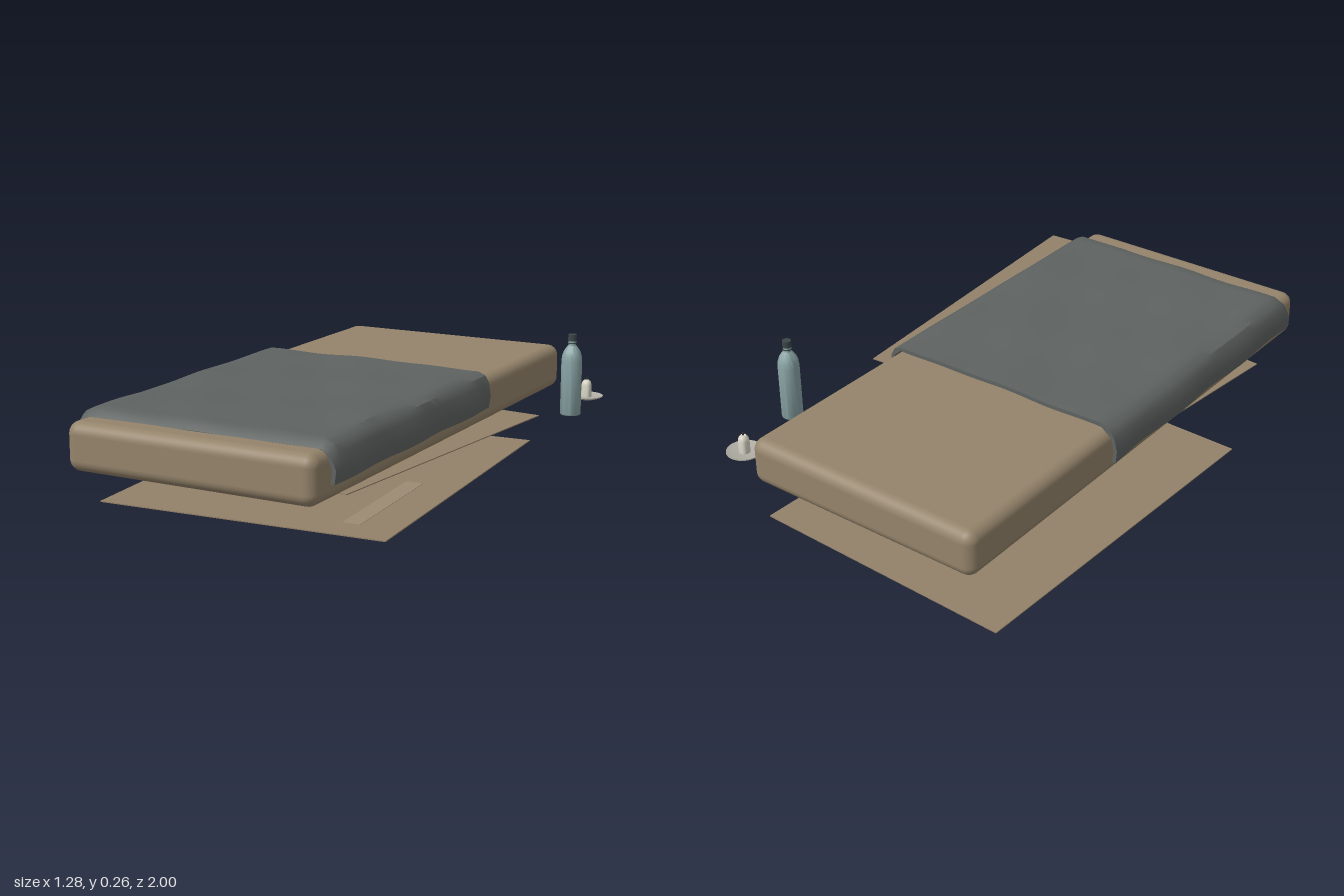
import * as THREE from 'three';
import { toCreasedNormals } from 'three/addons/utils/BufferGeometryUtils.js';
import { RoundedBoxGeometry } from 'three/addons/geometries/RoundedBoxGeometry.js';

const material = (name, color, side = THREE.FrontSide) => {
  const m = new THREE.MeshStandardMaterial({ color, side });
  m.name = name;
  return m;
};

// Blanket shell: a closed cross-section (outer skin, then inner skin back) swept along z
function blanketGeometry() {
  const outer = [[-0.452, 0.062], [-0.457, 0.1], [-0.449, 0.14], [-0.434, 0.163], [-0.405, 0.176]];
  const topSteps = 24;
  for (let i = 1; i < topSteps; i++) outer.push([-0.405 + 0.75 * i / topSteps, 0.176]);
  outer.push([0.345, 0.176], [0.369, 0.163], [0.383, 0.14], [0.391, 0.1], [0.386, 0.062]);
  const n = outer.length, loop = 2 * n;
  const zs = [];
  for (let i = 0; i <= 28; i++) zs.push(-0.255 + 0.968 * i / 28);
  zs.push(0.73, 0.745);

  const positions = [], index = [];
  zs.forEach((z, row) => {
    const dip = row < 29 ? 0 : row === 29 ? 0.009 : 0.022;
    const skin = (thickness) => outer.map(([x, y]) => {
      const onTop = y > 0.17;
      const ripple = 0.003 * Math.sin(9 * x + 5 * z) * Math.cos(11 * z - 4 * x) + 0.0015 * Math.sin(23 * x - 13 * z);
      const sway = onTop ? 0 : 0.004 * Math.sin(17 * z + 3 * Math.sign(x)) * (0.176 - y) / 0.11;
      const inward = y < 0.17 ? -Math.sign(x) * thickness : 0;
      const down = y > 0.15 ? thickness : 0;
      const drop = y > 0.13 ? dip : 0;
      return [x + sway + inward, y + (onTop ? ripple : 0) - down - drop, z];
    });
    for (const p of [...skin(0), ...skin(0.012).reverse()]) positions.push(...p);
  });
  for (let r = 0; r < zs.length - 1; r++) {
    for (let i = 0; i < loop; i++) {
      const j = (i + 1) % loop, a = r * loop + i, b = r * loop + j;
      index.push(a, a + loop, b, b, a + loop, b + loop);
    }
  }
  // Hems closing the two ends
  const last = (zs.length - 1) * loop;
  for (let i = 0; i < n - 1; i++) {
    const a = i, b = i + 1, c = loop - 2 - i, d = loop - 1 - i;
    index.push(a, b, c, a, c, d);
    index.push(last + a, last + c, last + b, last + a, last + d, last + c);
  }
  const g = new THREE.BufferGeometry();
  g.setAttribute('position', new THREE.Float32BufferAttribute(positions, 3));
  g.setIndex(index);
  return toCreasedNormals(g, 0.6);
}

const lathe = (points, segments = 32) => toCreasedNormals(
  new THREE.LatheGeometry(points.map(([x, y]) => new THREE.Vector2(x, y)), segments), 0.6);

export function createModel() {
  const model = new THREE.Group();
  model.name = 'beddingSet';
  const mats = {
    mattress: material('mattress fabric', 0x95846b),
    cardboard: material('cardboard', 0x938169),
    tape: material('tape', 0x9c8b73),
    blanket: material('grey blanket', 0x5e6361, THREE.DoubleSide),
    bottle: material('bottle', 0x89a3a4),
    cap: material('dark cap', 0x3b4648),
    saucer: material('saucer', 0xb0aea4, THREE.DoubleSide),
    candle: material('candle wax', 0xd6d2c4),
    wick: material('wick', 0x35322e),
  };
  const add = (name, geometry, mat, x = 0, y = 0, z = 0, parent = model) => {
    const mesh = new THREE.Mesh(geometry, mat);
    mesh.name = name;
    mesh.position.set(x, y, z);
    parent.add(mesh);
    return mesh;
  };

  // Overlapping cardboard sheets on the ground
  const sheets = [
    ['backSheet', -0.21, 0.0015, -0.44, -0.036],
    ['frontSheet', 0.195, 0.0045, 0.43, 0.066],
    ['middleSheet', 0.013, 0.0075, 0.061, -0.1],
  ];
  for (const [name, x, y, z, turn] of sheets) {
    add(name, new THREE.BoxGeometry(0.82, 0.003, 1.09), mats.cardboard, x, y, z).rotation.y = turn;
  }
  add('tapeStrip', new THREE.BoxGeometry(0.05, 0.001, 0.42), mats.tape, 0.485, 0.0064, 0.655).rotation.y = 0.066;

  // Mattress and the blanket over its front part
  add('mattress', new RoundedBoxGeometry(0.8, 0.145, 1.71, 5, 0.036), mats.mattress, -0.03, 0.0815, -0.03);
  add('blanket', blanketGeometry(), mats.blanket);

  // Bottle
  const bottle = new THREE.Group();
  bottle.name = 'bottle';
  bottle.position.set(0.543, 0, -0.54);
  model.add(bottle);
  add('bottleBody', lathe([[0, 0], [0.031, 0], [0.033, 0.003], [0.033, 0.175], [0.031, 0.192],
    [0.026, 0.207], [0.018, 0.219], [0.0125, 0.226], [0.0125, 0.242], [0, 0.242]]), mats.bottle, 0, 0, 0, bottle);
  add('bottleCap', new THREE.CylinderGeometry(0.0135, 0.0135, 0.021, 24), mats.cap, 0, 0.2505, 0, bottle);
  add('neckRing', new THREE.CylinderGeometry(0.014, 0.014, 0.003, 24), mats.cap, 0, 0.233, 0, bottle);

  // Candle on a saucer
  const light = new THREE.Group();
  light.name = 'candleHolder';
  light.position.set(0.507, 0, -0.78);
  model.add(light);
  add('saucer', lathe([[0, 0.001], [0.04, 0.001], [0.055, 0.008], [0.055, 0.011],
    [0.039, 0.006], [0, 0.006]]), mats.saucer, 0, 0, 0, light);
  add('candle', lathe([[0, 0.005], [0.017, 0.005], [0.017, 0.045], [0.0145, 0.055],
    [0.009, 0.062], [0, 0.064]], 24), mats.candle, 0, 0, 0, light);
  add('wick', new THREE.CylinderGeometry(0.003, 0.003, 0.008, 8), mats.wick, 0, 0.067, 0, light);

  return model;
}
